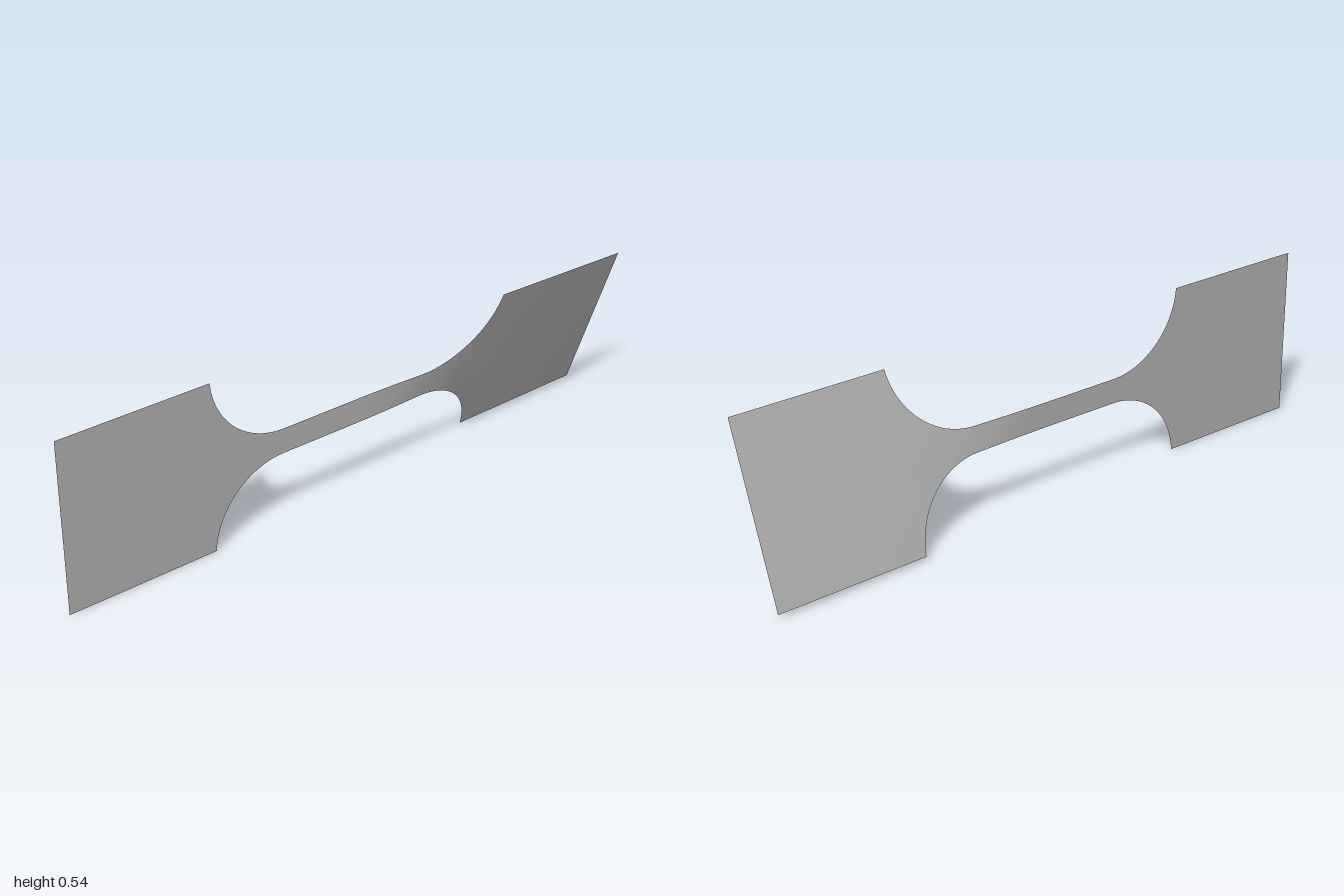
import * as THREE from 'three';

const MID = 0.2715;      // height of the centre line, also half the grip width
const NECK = 0.04;       // half width of the neck
const R = 0.25;          // fillet radius
const FILLET = 0.26;     // where the fillet leaves the neck

// Stations [x, half width] from the middle to one end
function halfStations() {
  const s = [];
  for (let i = 0; i <= 14; i++) s.push([FILLET * i / 14, NECK]);
  const end = Math.acos(1 - (MID - NECK) / R);
  for (let i = 1; i <= 24; i++) {
    const a = end * i / 24;
    s.push([FILLET + R * Math.sin(a), NECK + R * (1 - Math.cos(a))]);
  }
  const x0 = s[s.length - 1][0];
  for (let i = 1; i <= 8; i++) s.push([x0 + (1 - x0) * i / 8, MID]);
  return s;
}

// Twist about the long axis: none on the right grip, most of it by the left fillet
function twist(x) {
  const t = THREE.MathUtils.smoothstep(x, 0, 0.5);
  const tail = Math.max(0, x - 0.5) / 0.5;
  return THREE.MathUtils.degToRad(18.5 * t + 1.5 * tail);
}

export function createModel() {
  const group = new THREE.Group();
  group.name = 'twistedTestStrip';

  const half = halfStations();
  const stations = [...half.slice(1).reverse().map(([x, w]) => [-x, w]), ...half];

  // Thin sheet: a plane grid narrowed at the neck and twisted
  const rows = 12;
  const cols = stations.length;
  const geometry = new THREE.PlaneGeometry(2, 2, cols - 1, rows);
  const pos = geometry.attributes.position;
  for (let i = 0; i < pos.count; i++) {
    const [x, w] = stations[i % cols];
    const v = pos.getY(i) * w;
    const a = twist(x);
    pos.setXYZ(i, x, MID + v * Math.cos(a), v * Math.sin(a));
  }
  geometry.computeVertexNormals();

  const grey = new THREE.MeshStandardMaterial({ color: 0xb3b3b3, side: THREE.DoubleSide });
  grey.name = 'grey';
  const strip = new THREE.Mesh(geometry, grey);
  strip.name = 'strip';
  group.add(strip);
  return group;
}
